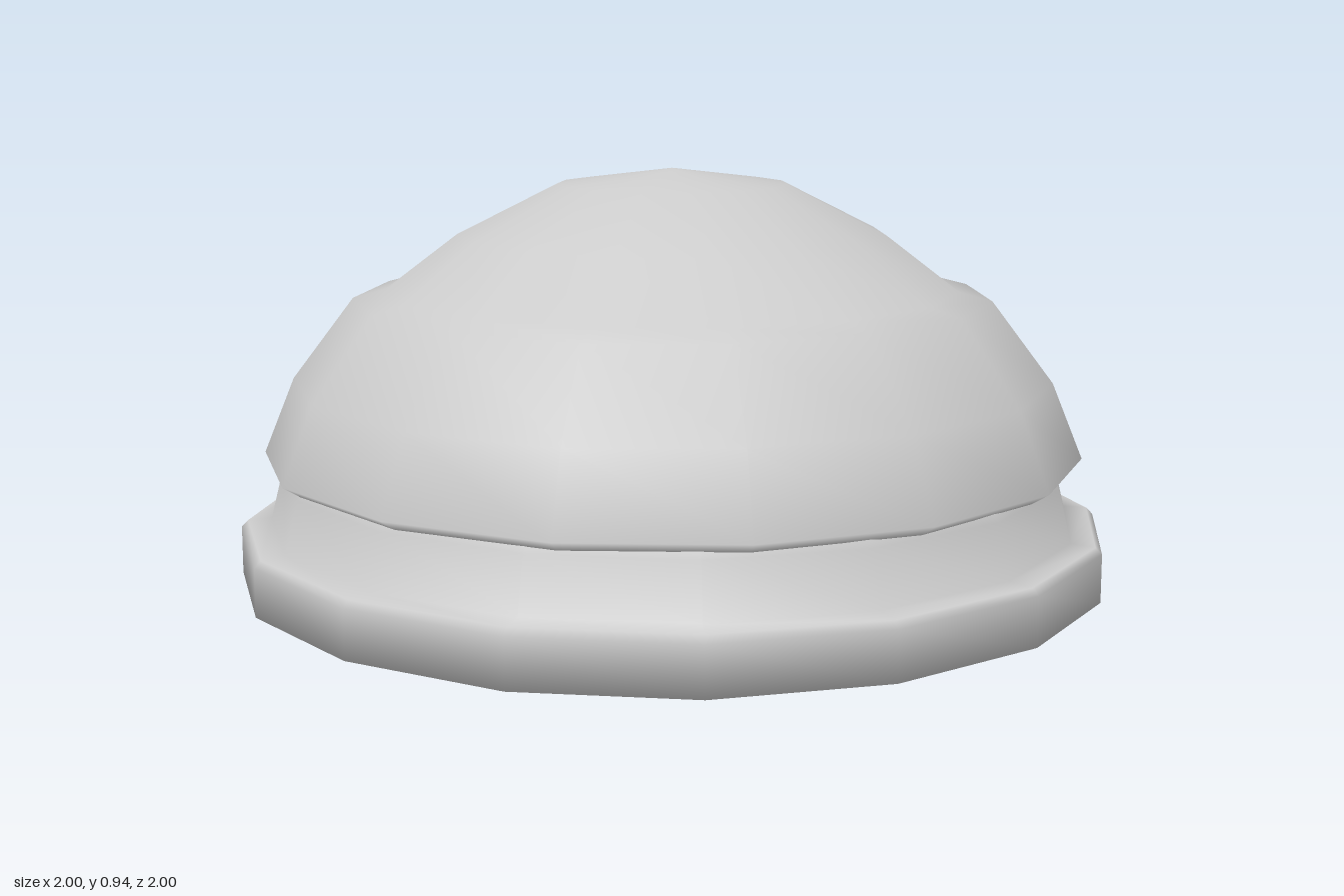
import * as THREE from 'three';

// Smooth-shaded, low-sided turned part; turn is the angle of the first corner in degrees
function turned(name, profile, sides, turn) {
  const points = profile.map(([r, y]) => new THREE.Vector2(r, y));
  const geometry = new THREE.LatheGeometry(points, sides, THREE.MathUtils.degToRad(turn));
  const material = new THREE.MeshStandardMaterial({ color: 0xcccccc });
  const mesh = new THREE.Mesh(geometry, material);
  mesh.name = name;
  return mesh;
}

export function createModel() {
  const model = new THREE.Group();
  model.name = 'steppedDome';

  // Flat closed underside, thick rim and the tapering neck above it
  model.add(turned('baseAndNeck', [
    [0, 0], [1.005, 0], [1.005, 0.11], [0.99, 0.125],
    [0.935, 0.13], [0.905, 0.25], [0.88, 0.28],
  ], 16, 97));

  // Overhanging lip, curved side, small step and shallow cap
  model.add(turned('dome', [
    [0.87, 0.26], [0.905, 0.262], [0.945, 0.287], [0.875, 0.46], [0.735, 0.645],
    [0.66, 0.665], [0.495, 0.79], [0.265, 0.905], [0, 0.94],
  ], 15, 178));

  return model;
}
